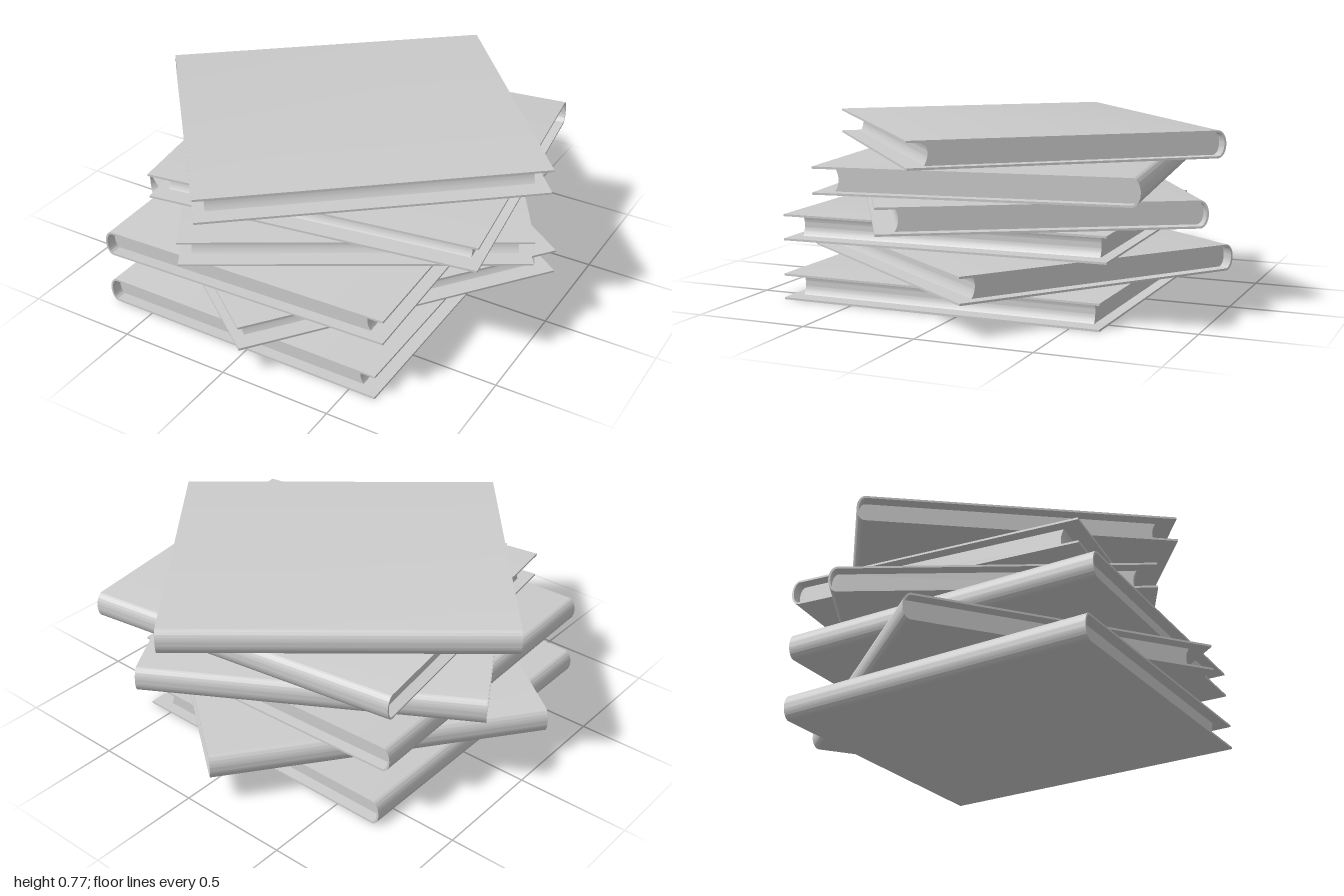
import * as THREE from 'three';
import { toCreasedNormals } from 'three/addons/utils/BufferGeometryUtils.js';

const WIDTH = 1.34, LENGTH = 1.456, THICK = 0.115, BOARD = 0.009;
const SPINE = 0.036;                       // depth of the rounded spine
const EDGE_INSET = 0.08, END_INSET = 0.05; // page block set back from the cover

// Extrude a side profile along z, centred, keeping curves smooth and edges sharp
function extrudeProfile(shape, length) {
  const geo = new THREE.ExtrudeGeometry(shape, { depth: length, bevelEnabled: false, curveSegments: 20 });
  geo.translate(0, 0, -length / 2);
  return toCreasedNormals(geo, 0.6);
}

// C-shaped wrap: two boards joined by a rounded spine on the -x side
function coverShape() {
  const r = THICK / 2, ri = r - BOARD;
  const xs = -WIDTH / 2 + SPINE, xe = WIDTH / 2;
  const s = new THREE.Shape();
  s.moveTo(xe, r);
  s.lineTo(xs, r);
  s.absellipse(xs, 0, SPINE, r, Math.PI / 2, Math.PI * 1.5, false);
  s.lineTo(xe, -r);
  s.lineTo(xe, -ri);
  s.lineTo(xs, -ri);
  s.absellipse(xs, 0, SPINE - BOARD, ri, Math.PI * 1.5, Math.PI / 2, true);
  s.lineTo(xe, ri);
  s.closePath();
  return s;
}

// Page block: rounded at the spine, hollowed at the fore-edge
function pagesShape() {
  const h = THICK / 2 - BOARD;
  const xs = -WIDTH / 2 + SPINE, xe = WIDTH / 2 - EDGE_INSET;
  const s = new THREE.Shape();
  s.moveTo(xe, h);
  s.lineTo(xs, h);
  s.absellipse(xs, 0, SPINE - BOARD, h, Math.PI / 2, Math.PI * 1.5, false);
  s.lineTo(xe, -h);
  s.quadraticCurveTo(xe - 0.03, 0, xe, h);
  return s;
}

export function createModel() {
  const group = new THREE.Group();
  group.name = 'bookStack';
  const material = new THREE.MeshStandardMaterial({ color: 0xcccccc });
  const coverGeo = extrudeProfile(coverShape(), LENGTH);
  const pagesGeo = extrudeProfile(pagesShape(), LENGTH - 2 * END_INSET);

  // Each book: x, underside y, z, turn in degrees
  const books = [
    [-0.05, 0, 0.1, 0],
    [-0.02, 0.137, 0.005, -36.9],
    [-0.052, 0.268, 0.105, 2],
    [0.02, 0.389, -0.03, -59.1],
    [0.075, 0.521, -0.05, -81.8],
    [0, 0.656, -0.02, -50.2],
  ];
  books.forEach(([x, y, z, turn], i) => {
    const book = new THREE.Group();
    book.name = `book${i + 1}`;
    const cover = new THREE.Mesh(coverGeo, material);
    cover.name = 'cover';
    const pages = new THREE.Mesh(pagesGeo, material);
    pages.name = 'pages';
    book.add(cover, pages);
    book.position.set(x, y + THICK / 2, z);
    book.rotation.y = THREE.MathUtils.degToRad(turn);
    group.add(book);
  });
  return group;
}
